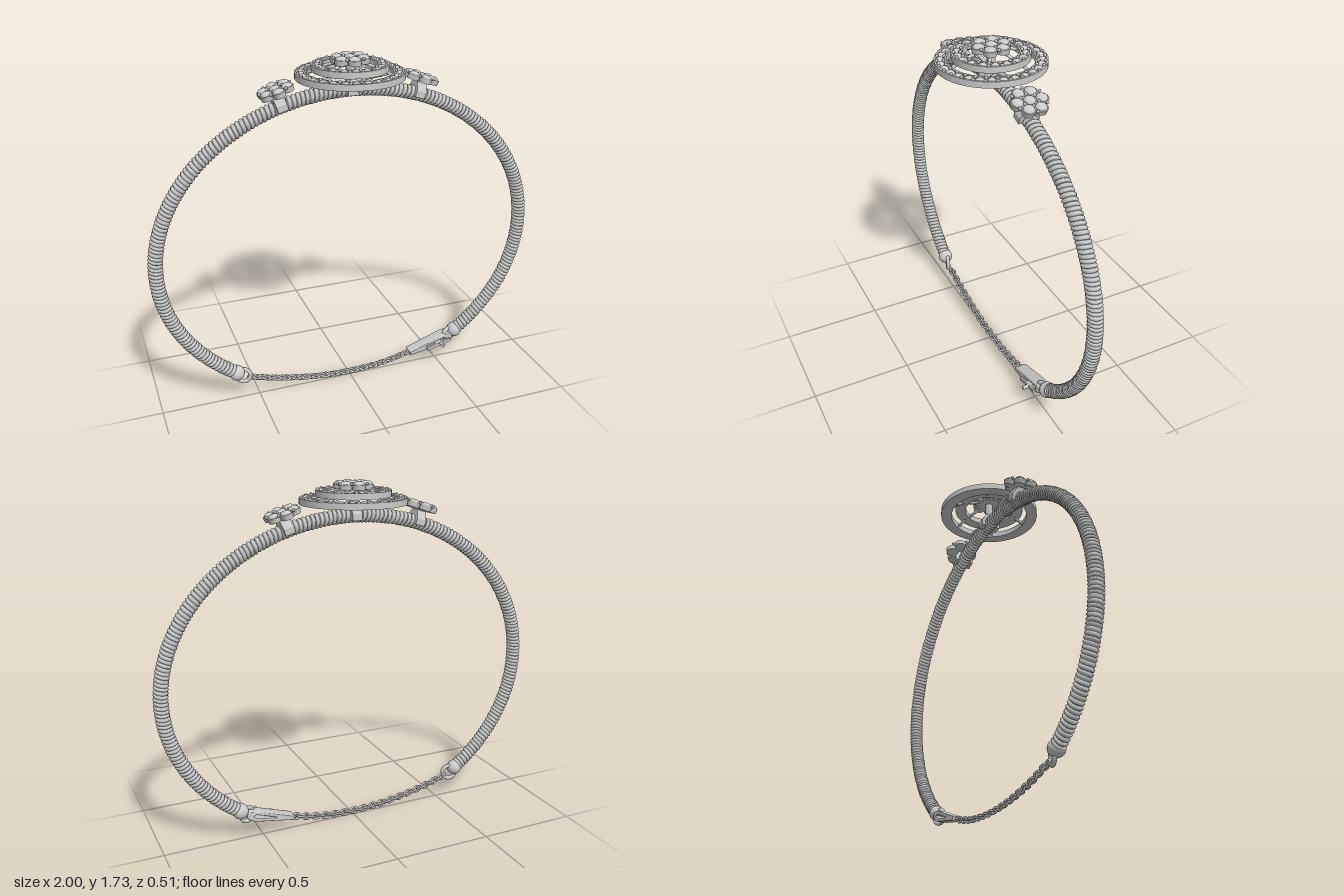
import * as THREE from 'three';
import { toCreasedNormals } from 'three/addons/utils/BufferGeometryUtils.js';

const mat = new THREE.MeshStandardMaterial({ color: 0xcccccc, side: THREE.DoubleSide });
const V = (x, y, z = 0) => new THREE.Vector3(x, y, z);

function add(parent, name, geometry, x = 0, y = 0, z = 0) {
  const mesh = new THREE.Mesh(geometry, mat);
  mesh.name = name;
  mesh.position.set(x, y, z);
  parent.add(mesh);
  return mesh;
}

function rod(parent, name, a, b, r, sides = 8) {
  const mesh = add(parent, name, new THREE.CylinderGeometry(r, r, a.distanceTo(b), sides));
  mesh.position.copy(a).lerp(b, 0.5);
  mesh.quaternion.setFromUnitVectors(V(0, 1), b.clone().sub(a).normalize());
}

// Oval centre line of the band, open at the bottom
const A = 0.963, B = 0.8, CY = 0.77;
const START = -0.88, SPAN = Math.PI + 2 * 0.88;
const ovalAt = (t) => {
  const a = START + SPAN * t;
  return V(A * Math.cos(a), CY + B * Math.sin(a));
};

class BandCurve extends THREE.Curve {
  getPoint(t, target = V(0, 0)) { return target.copy(ovalAt(t)); }
}

// Wire wound around the band
class WrapCurve extends THREE.Curve {
  constructor(turns, radius) {
    super();
    this.turns = turns;
    this.radius = radius;
    this.arcLengthDivisions = turns * 24;
  }
  getPoint(t, target = V(0, 0)) {
    const a = START + SPAN * t, w = t * this.turns * Math.PI * 2;
    const n = V(Math.cos(a) / A, Math.sin(a) / B).normalize();
    target.copy(ovalAt(t)).addScaledVector(n, Math.cos(w) * this.radius);
    target.z = Math.sin(w) * this.radius;
    return target;
  }
}

const gem = new THREE.SphereGeometry(1, 10, 6);
const bead = new THREE.SphereGeometry(0.008, 6, 4);

// Ring-shaped tray with raised rims, stones and prongs
function stoneRing(parent, name, inner, outer, y, h, count) {
  const ring = new THREE.Group();
  ring.name = name;
  ring.position.y = y;
  parent.add(ring);
  const rim = 0.009, floor = h * 0.6;
  const profile = [
    [inner, 0], [outer, 0], [outer, h], [outer - rim, h], [outer - rim, floor],
    [inner + rim, floor], [inner + rim, h], [inner, h], [inner, 0],
  ].map(([px, py]) => new THREE.Vector2(px, py));
  add(ring, 'tray', toCreasedNormals(new THREE.LatheGeometry(profile, 64), 0.6));
  const mid = (inner + outer) / 2;
  for (let i = 0; i < count; i++) {
    const a = (i / count) * Math.PI * 2, b = a + Math.PI / count;
    const stone = add(ring, 'stone', gem, mid * Math.cos(a), floor, mid * Math.sin(a));
    stone.scale.set(0.022, 0.018, 0.022);
    stone.rotation.y = -a;
    for (const r of [inner + 0.012, outer - 0.012]) {
      add(ring, 'prong', bead, r * Math.cos(b), h, r * Math.sin(b));
    }
  }
}

// Cluster of a centre stone and six petals, each in its own cup
function flower(parent, name, radius) {
  const g = new THREE.Group();
  g.name = name;
  parent.add(g);
  const s = radius * 0.35, orbit = radius - s;
  const cup = new THREE.CylinderGeometry(s, s * 0.88, 0.024, 20);
  add(g, 'backPlate', new THREE.CylinderGeometry(orbit, orbit * 0.9, 0.02, 24), 0, 0.01);
  for (let i = 0; i < 7; i++) {
    const a = Math.PI / 2 + (i * Math.PI) / 3, r = i === 6 ? 0 : orbit;
    const x = r * Math.cos(a), z = r * Math.sin(a);
    add(g, 'cup', cup, x, 0.012, z);
    add(g, 'stone', gem, x, 0.023, z).scale.set(s * 0.88, 0.017, s * 0.88);
    if (i < 6) {
      const b = a + Math.PI / 6;
      for (const k of [0.42, 0.84]) {
        add(g, 'prong', bead, radius * k * Math.cos(b), 0.028, radius * k * Math.sin(b));
      }
    }
  }
  return g;
}

// Saddle that holds an ornament on the band
function saddle(parent, name, x, y, tilt) {
  const g = new THREE.Group();
  g.name = name;
  g.position.set(x, y, 0);
  g.rotation.z = tilt;
  parent.add(g);
  const s = new THREE.Shape([[-0.05, -0.02], [0.05, -0.02], [0.05, 0.01], [0.027, 0.05], [-0.027, 0.05], [-0.05, 0.01]]
    .map(([px, py]) => new THREE.Vector2(px, py)));
  const geo = new THREE.ExtrudeGeometry(s, { depth: 0.05, bevelEnabled: false });
  geo.translate(0, 0, -0.025).rotateY(Math.PI / 2);
  add(g, 'clip', geo);
  return g;
}

export function createModel() {
  const model = new THREE.Group();
  model.name = 'bracelet';

  // Wrapped band
  add(model, 'bandCore', new THREE.TubeGeometry(new BandCurve(), 160, 0.028, 12));
  const turns = 215;
  add(model, 'bandWrap', new THREE.TubeGeometry(new WrapCurve(turns, 0.026), turns * 12, 0.0105, 6));

  // End caps and jump rings
  for (const side of [1, -1]) {
    const end = ovalAt(side > 0 ? 0 : 1);
    add(model, 'endCap', new THREE.SphereGeometry(0.04, 20, 14), end.x, end.y);
    const ring = add(model, 'jumpRing', new THREE.TorusGeometry(0.036, 0.011, 8, 24), side * 0.58, 0.13);
    ring.rotation.y = side * 0.3;
  }

  // Central tiered medallion
  const medallion = new THREE.Group();
  medallion.name = 'medallion';
  model.add(medallion);
  stoneRing(medallion, 'outerRing', 0.2, 0.256, 1.625, 0.03, 28);
  stoneRing(medallion, 'middleRing', 0.126, 0.18, 1.66, 0.03, 18);
  flower(medallion, 'topFlower', 0.096).position.y = 1.693;
  rod(medallion, 'post', V(0, 1.58), V(0, 1.7), 0.02, 12);
  for (let i = 0; i < 6; i++) {
    const a = Math.PI / 2 + (i * Math.PI) / 3, c = Math.cos(a), s = Math.sin(a);
    rod(medallion, 'spoke', V(0.215 * c, 1.633, 0.215 * s), V(0.15 * c, 1.665, 0.15 * s), 0.008);
    rod(medallion, 'spoke', V(0.15 * c, 1.665, 0.15 * s), V(0.05 * c, 1.7, 0.05 * s), 0.008);
  }
  for (const side of [1, -1]) {
    rod(medallion, 'support', V(0, 1.605), V(side * 0.215, 1.632), 0.01);
  }
  saddle(model, 'centreSaddle', 0, 1.57, 0);

  // Tilted side flowers
  for (const side of [1, -1]) {
    saddle(model, 'sideSaddle', side * 0.34, 1.527, -side * 0.3);
    const f = flower(model, 'sideFlower', 0.09);
    f.position.set(side * 0.352, 1.58, 0);
    f.rotation.z = -side * 0.32;
  }

  // Safety chain with alternating links
  const path = new THREE.CatmullRomCurve3([
    V(-0.55, 0.115), V(-0.4, 0.072), V(-0.2, 0.035), V(0, 0.022), V(0.2, 0.035), V(0.36, 0.07)]);
  const link = new THREE.TorusGeometry(0.0145, 0.0055, 6, 14);
  link.scale(1.45, 1, 1);
  const links = 34;
  for (let i = 0; i < links; i++) {
    const t = (i + 0.5) / links, dir = path.getTangentAt(t);
    const m = add(model, 'chainLink', link);
    m.position.copy(path.getPointAt(t));
    m.rotation.set((i % 2) * Math.PI / 2 + 0.25, 0, Math.atan2(dir.y, dir.x), 'ZYX');
  }

  // Clasp with a slotted body and a thumb lever
  const clasp = new THREE.Group();
  clasp.name = 'clasp';
  clasp.position.set(0.345, 0.07, 0);
  clasp.rotation.z = 0.25;
  model.add(clasp);
  const body = new THREE.Shape();
  body.moveTo(0, -0.008);
  body.lineTo(0.2, -0.024);
  body.quadraticCurveTo(0.25, -0.02, 0.25, 0.005);
  body.quadraticCurveTo(0.245, 0.026, 0.2, 0.024);
  body.lineTo(0, 0.008);
  const slot = new THREE.Path();
  slot.moveTo(0.09, 0.004);
  slot.lineTo(0.2, 0.012);
  slot.quadraticCurveTo(0.235, 0.004, 0.2, -0.01);
  slot.lineTo(0.09, -0.004);
  body.holes.push(slot);
  const bodyGeo = new THREE.ExtrudeGeometry(body, {
    depth: 0.05, bevelThickness: 0.006, bevelSize: 0.003, bevelSegments: 2, curveSegments: 8 });
  bodyGeo.translate(0, 0, -0.025);
  add(clasp, 'claspBody', toCreasedNormals(bodyGeo, 0.7));
  add(clasp, 'claspPlate', new THREE.BoxGeometry(0.14, 0.018, 0.01), 0.16, 0, 0.048);
  add(clasp, 'claspHinge', new THREE.BoxGeometry(0.03, 0.018, 0.03), 0.16, 0, 0.035);
  rod(clasp, 'claspLever', V(0.175, 0, 0.03), V(0.175, 0, 0.082), 0.01, 10);

  return model;
}
